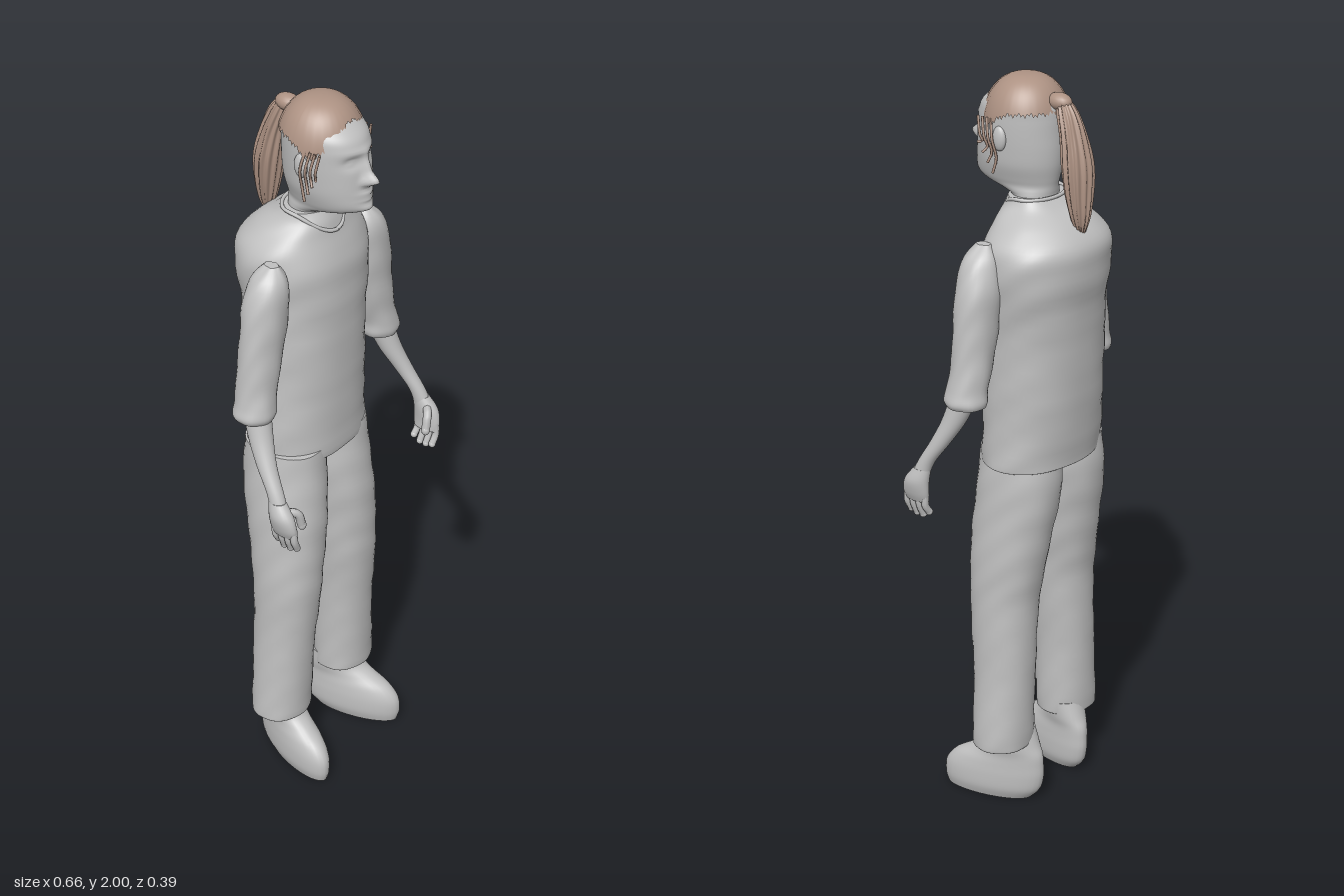
import * as THREE from 'three';

const grey = new THREE.MeshStandardMaterial({ color: 0xc0c0c0 });
grey.name = 'plain grey';
const brown = new THREE.MeshStandardMaterial({ color: 0xad9283, side: THREE.DoubleSide });
brown.name = 'hair brown';

// Smooth skin over horizontal rings [y, centre x, centre z, radius x, radius z],
// listed upwards. warp(p, angle, ring) may move each point.
function loft(rings, { sides = 32, steps = 5, power = 1, warp = null } = {}) {
  const at = (k, c) => rings[Math.max(0, Math.min(rings.length - 1, k))][c];
  const rows = [];
  for (let k = 0; k < rings.length - 1; k++) {
    for (let s = 0; s < steps; s++) {
      const t = s / steps;
      rows.push([0, 1, 2, 3, 4].map((c) => {
        const p0 = at(k - 1, c), p1 = at(k, c), p2 = at(k + 1, c), p3 = at(k + 2, c);
        return 0.5 * (2 * p1 + (p2 - p0) * t + (2 * p0 - 5 * p1 + 4 * p2 - p3) * t * t
          + (3 * p1 - p0 - 3 * p2 + p3) * t * t * t);
      }));
    }
  }
  rows.push(rings[rings.length - 1]);
  const pos = [], idx = [], p = new THREE.Vector3();
  const addRing = (r) => {
    for (let i = 0; i < sides; i++) {
      const a = (i / sides) * Math.PI * 2, c = Math.cos(a), s = Math.sin(a);
      p.set(r[1] + r[3] * Math.sign(c) * Math.abs(c) ** power, r[0],
        r[2] + r[4] * Math.sign(s) * Math.abs(s) ** power);
      if (warp) warp(p, a, r);
      pos.push(p.x, p.y, p.z);
    }
  };
  rows.forEach(addRing);
  for (let j = 0; j < rows.length - 1; j++) {
    for (let i = 0; i < sides; i++) {
      const n = (i + 1) % sides, a = j * sides, b = a + sides;
      idx.push(a + i, b + i, a + n, a + n, b + i, b + n);
    }
  }
  // Flat end caps with their own vertices
  [rows[0], rows[rows.length - 1]].forEach((r, top) => {
    const base = pos.length / 3;
    addRing(r);
    p.set(r[1], r[0], r[2]);
    if (warp) warp(p, 0, r);
    pos.push(p.x, p.y, p.z);
    for (let i = 0; i < sides; i++) {
      const n = (i + 1) % sides;
      idx.push(base + sides, base + (top ? n : i), base + (top ? i : n));
    }
  });
  const g = new THREE.BufferGeometry();
  g.setAttribute('position', new THREE.Float32BufferAttribute(pos, 3));
  g.setIndex(idx);
  g.computeVertexNormals();
  return g;
}

function add(parent, name, geometry, material = grey) {
  const m = new THREE.Mesh(geometry, material);
  m.name = name;
  parent.add(m);
  return m;
}

function tube(points, radius, segments = 10) {
  const curve = new THREE.CatmullRomCurve3(points.map((q) => new THREE.Vector3(...q)));
  return new THREE.TubeGeometry(curve, segments, radius, 8, false);
}

function ball(parent, name, [x, y, z], [sx, sy, sz], material = grey) {
  const m = add(parent, name, new THREE.SphereGeometry(1, 16, 12), material);
  m.position.set(x, y, z);
  m.scale.set(sx, sy, sz);
}

// Gentle cloth wrinkles
const cloth = (amount) => (p, a) => {
  const w = amount * Math.sin(p.y * 43 + 2.3 * Math.sin(a * 2)) * Math.sin(a * 3 + p.y * 17);
  p.x += w * Math.cos(a);
  p.z += w * Math.sin(a);
};

// Face relief: [x, y, width, height, depth]
const relief = [
  [0, 1.82, 0.013, 0.016, 0.034], [0, 1.85, 0.011, 0.028, 0.016],
  [0.035, 1.868, 0.02, 0.014, -0.012], [-0.035, 1.868, 0.02, 0.014, -0.012],
  [0.035, 1.866, 0.012, 0.006, 0.006], [-0.035, 1.866, 0.012, 0.006, 0.006],
  [0, 1.893, 0.05, 0.009, 0.005], [0.014, 1.815, 0.008, 0.008, 0.01],
  [-0.014, 1.815, 0.008, 0.008, 0.01], [0, 1.782, 0.024, 0.007, 0.009],
  [0, 1.767, 0.022, 0.006, 0.008], [0, 1.74, 0.025, 0.014, 0.012],
];
function faceRule(p, a) {
  const front = Math.max(0, Math.sin(a));
  let d = 0;
  for (const [x, y, w, h, depth] of relief) d += depth * Math.exp(-(((p.x - x) / w) ** 2) - ((p.y - y) / h) ** 2);
  p.z += d * Math.min(1, front * 1.5);
}

function buildHead(root) {
  const head = new THREE.Group();
  head.name = 'head';
  root.add(head);
  // [y, front z, back z, half width]
  const rows = [[1.64, 0.045, -0.06, 0.066], [1.695, 0.05, -0.062, 0.064], [1.712, 0.085, -0.064, 0.066],
    [1.727, 0.145, -0.066, 0.07], [1.745, 0.166, -0.07, 0.077], [1.78, 0.165, -0.077, 0.087],
    [1.82, 0.162, -0.08, 0.091], [1.86, 0.158, -0.08, 0.093], [1.9, 0.154, -0.08, 0.093],
    [1.93, 0.138, -0.077, 0.09], [1.96, 0.095, -0.058, 0.07], [1.982, 0.05, -0.02, 0.035]];
  add(head, 'face and neck', loft(rows.map(([y, f, b, w]) => [y, 0, (f + b) / 2, w, (f - b) / 2]),
    { sides: 96, steps: 6, warp: faceRule }));

  // Hair cap with a hairline that is high in front and low at the temples
  const cap = new THREE.SphereGeometry(1, 64, 18);
  const q = cap.attributes.position, uv = cap.attributes.uv;
  for (let i = 0; i < q.count; i++) {
    const a = uv.getX(i) * Math.PI * 2, s = Math.sin(a);
    const temple = Math.exp(-(((s - 0.45) / 0.4) ** 2));
    const line = (s > 0 ? 1.915 + 0.045 * s ** 3 : 1.915) - 0.04 * temple + 0.003 * Math.sin(a * 23);
    const phi = (1 - uv.getY(i)) * Math.acos((line - 1.87) / 0.13);
    const r = Math.sin(phi) ** 0.8 * (1 + 0.008 * Math.sin(a * 30));
    q.setXYZ(i, -0.11 * r * Math.cos(a), 1.87 + 0.13 * Math.cos(phi), 0.022 + (s > 0 ? 0.114 : 0.108) * r * s);
  }
  cap.computeVertexNormals();
  add(head, 'hair cap', cap, brown);

  // Ponytail with ribbed locks
  ball(head, 'ponytail root', [0, 1.945, -0.08], [0.025, 0.022, 0.035], brown);
  add(head, 'ponytail', loft([[1.615, 0.004, -0.152, 0.006, 0.008], [1.66, 0.004, -0.15, 0.024, 0.022],
    [1.72, 0.002, -0.145, 0.038, 0.03], [1.79, 0, -0.138, 0.044, 0.034], [1.86, 0, -0.125, 0.036, 0.03],
    [1.92, 0, -0.105, 0.026, 0.026], [1.955, 0, -0.088, 0.014, 0.016]], {
    sides: 72,
    warp: (p, a, r) => {
      const k = 0.1 * Math.cos(12 * a + p.y * 12);
      p.x += (p.x - r[1]) * k;
      p.z += (p.z - r[2]) * k;
    },
  }), brown);

  for (const s of [1, -1]) {
    ball(head, 'ear', [s * 0.093, 1.85, 0.035], [0.012, 0.032, 0.02]);
    // Loose strands beside the face
    for (let k = 0; k < 4; k++) {
      const z = 0.045 + k * 0.014, end = 1.76 + k * 0.025;
      add(head, 'loose strand', tube([[s * 0.1, 1.9, z + 0.01], [s * (0.11 - k * 0.002), 1.85, z],
        [s * 0.098, 1.8 + k * 0.012, z - 0.004], [s * (0.1 + k * 0.003), end, z + 0.006]], 0.0035), brown);
    }
  }
}

function buildArm(root, s) {
  const arm = new THREE.Group();
  arm.name = s > 0 ? 'left arm' : 'right arm';
  root.add(arm);
  const flip = (rings) => rings.map(([y, x, ...rest]) => [y, s * x, ...rest]);
  add(arm, 'sleeve', loft(flip([[1.2, 0.255, 0.012, 0.05, 0.052], [1.215, 0.255, 0.012, 0.056, 0.056],
    [1.245, 0.25, 0.012, 0.053, 0.053], [1.3, 0.237, 0.01, 0.056, 0.052], [1.4, 0.218, 0.01, 0.064, 0.053],
    [1.5, 0.204, 0.01, 0.063, 0.056], [1.57, 0.192, 0.013, 0.046, 0.046],
    [1.607, 0.182, 0.015, 0.014, 0.02]]), { warp: cloth(0.002) }));
  add(arm, 'forearm', loft(flip([[0.98, 0.303, 0.132, 0.02, 0.026], [1.03, 0.297, 0.112, 0.02, 0.023],
    [1.09, 0.284, 0.075, 0.024, 0.027], [1.16, 0.265, 0.04, 0.031, 0.033], [1.25, 0.248, 0.012, 0.036, 0.038]])));
  add(arm, 'palm', loft(flip([[0.915, 0.298, 0.144, 0.015, 0.036], [0.94, 0.303, 0.144, 0.02, 0.04],
    [0.975, 0.305, 0.138, 0.024, 0.036], [1.01, 0.301, 0.122, 0.019, 0.024]]), { sides: 24 }));
  for (let k = 0; k < 4; k++) {
    const z = 0.114 + k * 0.02, low = 0.872 + (k === 0 ? 0.012 : k === 3 ? 0.006 : 0);
    add(arm, 'finger', tube([[s * 0.301, 0.94, z], [s * 0.3, 0.905, z + 0.002], [s * 0.288, low, z]], 0.0098));
    ball(arm, 'fingertip', [s * 0.288, low, z], [0.0098, 0.0098, 0.0098]);
  }
  add(arm, 'thumb', tube([[s * 0.3, 0.985, 0.145], [s * 0.275, 0.975, 0.165], [s * 0.262, 0.935, 0.17]], 0.0115));
  ball(arm, 'thumb tip', [s * 0.262, 0.935, 0.17], [0.0115, 0.014, 0.0115]);
}

function buildLeg(root, s) {
  const leg = new THREE.Group();
  leg.name = s > 0 ? 'left leg' : 'right leg';
  leg.position.x = -0.012;
  root.add(leg);
  add(leg, 'trouser leg', loft([[0.175, s * 0.136, 0.005, 0.084, 0.074], [0.2, s * 0.136, 0.005, 0.086, 0.077],
    [0.4, s * 0.127, 0.008, 0.08, 0.083], [0.6, s * 0.117, 0.014, 0.087, 0.093],
    [0.7, s * 0.11, 0.008, 0.091, 0.102], [0.82, s * 0.1, -0.002, 0.095, 0.112],
    [0.93, s * 0.09, -0.014, 0.096, 0.116], [1.03, s * 0.085, -0.018, 0.09, 0.11]],
  { sides: 40, power: 0.95, warp: cloth(0.002) }));
  // Shoe turned outwards towards the toe
  add(leg, 'shoe', loft([[0, 0, 0.06, 0.042, 0.118], [0.03, 0, 0.05, 0.052, 0.135], [0.07, 0, 0.043, 0.054, 0.138],
    [0.105, 0, 0.03, 0.052, 0.125], [0.135, 0, 0.008, 0.05, 0.1], [0.165, 0, -0.005, 0.055, 0.074],
    [0.21, 0, -0.002, 0.06, 0.06]], { warp: (p) => { p.x += s * (0.117 + 0.24 * p.z); } }));
}

export function createModel() {
  const root = new THREE.Group();
  root.name = 'standing figure';
  add(root, 'shirt', loft([[1, 0, -0.025, 0.178, 0.122], [1.02, 0, -0.025, 0.18, 0.125],
    [1.2, 0.002, -0.032, 0.172, 0.134], [1.4, 0.008, -0.037, 0.172, 0.139], [1.52, 0.012, -0.046, 0.184, 0.145],
    [1.59, 0.012, -0.05, 0.178, 0.138], [1.64, 0.006, -0.04, 0.138, 0.11], [1.675, 0, -0.018, 0.095, 0.08],
    [1.7, 0, -0.008, 0.08, 0.06]], { sides: 56, power: 0.9, warp: cloth(0.003) }));
  // Collar edge running round the nape to a low point in front
  const edge = [];
  for (let i = 0; i <= 24; i++) {
    const a = Math.PI / 2 + (i / 24) * Math.PI * 2, f = Math.max(0, Math.sin(a));
    edge.push([0.084 * Math.cos(a), 1.7 - 0.055 * f * f, -0.008 + (0.064 + 0.018 * f * f) * Math.sin(a)]);
  }
  add(root, 'collar edge', tube(edge, 0.005, 72));
  for (const s of [1, -1]) {
    buildArm(root, s);
    buildLeg(root, s);
  }
  buildHead(root);
  return root;
}
